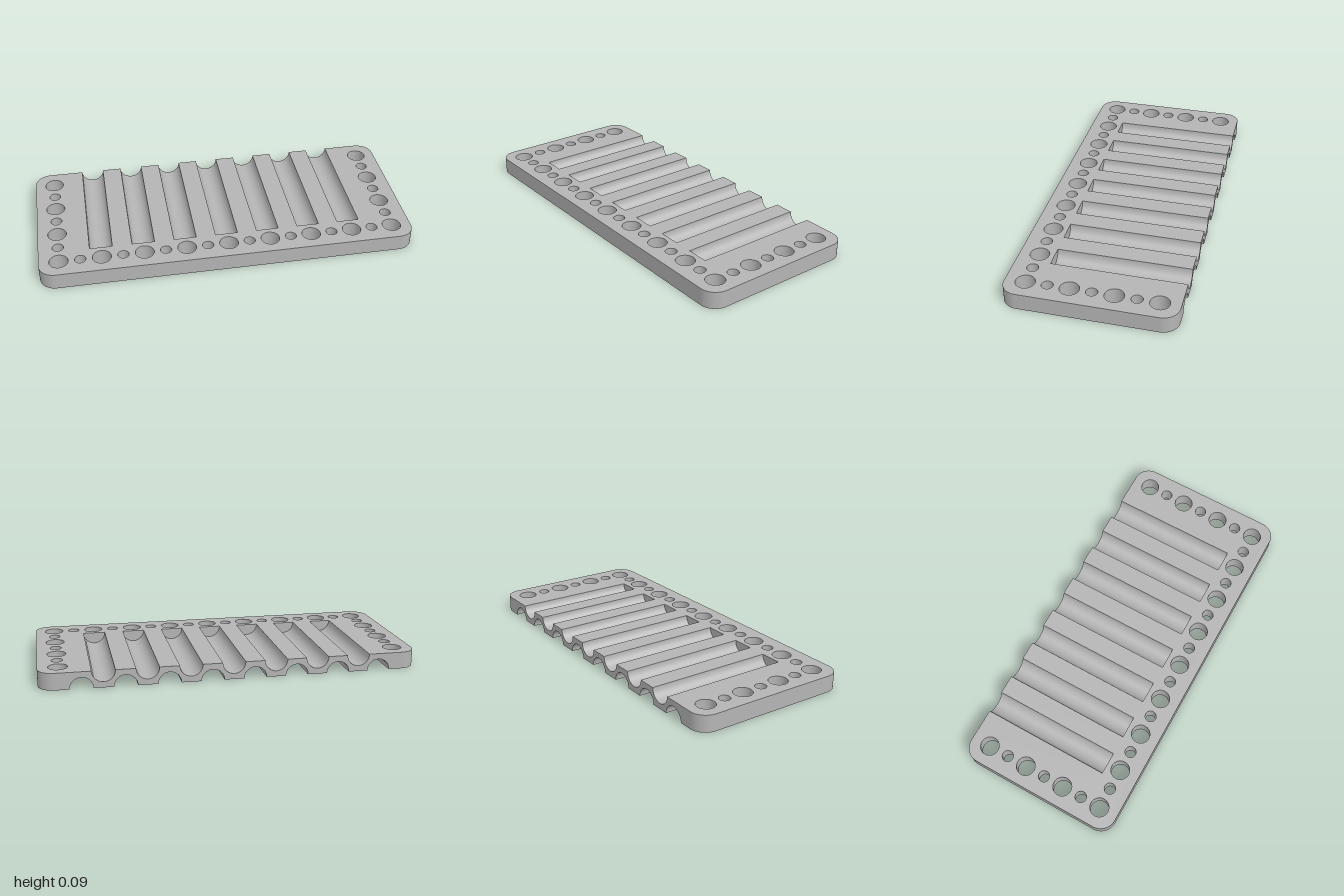
import * as THREE from 'three';
import { mergeGeometries, mergeVertices } from 'three/addons/utils/BufferGeometryUtils.js';

const X = 1, D = 0.44, H = 0.09, R = 0.085;      // half width, half depth, height, corner radius
const PITCH = 0.112, GR = 0.06, GEND = 0.26;     // hole pitch, groove radius, groove front end
const BIG = 0.05, SMALL = 0.03, SEG = 24;
const PI = Math.PI;

// Groove centres: seven on top, eight on the underside, staggered
const topGrooves = [-6, -4, -2, 0, 2, 4, 6].map(i => i * PITCH);
const bottomGrooves = [-7, -5, -3, -1, 1, 3, 5, 7].map(i => i * PITCH);

// Holes alternate large and small along the front and both sides
const holes = [];
for (let i = -8; i <= 8; i++) holes.push({ x: i * PITCH, z: 3 * PITCH, r: i % 2 ? SMALL : BIG });
for (const side of [-1, 1])
  for (let j = -3; j < 3; j++) holes.push({ x: side * 8 * PITCH, z: j * PITCH, r: j % 2 ? BIG : SMALL });

// Turns a surface inside out
function inward(geo) {
  const index = geo.index.array, normal = geo.attributes.normal.array;
  for (let i = 0; i < index.length; i += 3) [index[i], index[i + 1]] = [index[i + 1], index[i]];
  for (let i = 0; i < normal.length; i++) normal[i] *= -1;
  return geo;
}

// Flat plate face, notched by its grooves and pierced by the holes
function plateFace(grooves) {
  const s = new THREE.Shape();
  s.moveTo(-X + R, D);
  s.absarc(-X + R, D - R, R, PI / 2, PI);
  s.absarc(-X + R, -D + R, R, PI, PI * 1.5);
  s.absarc(X - R, -D + R, R, PI * 1.5, PI * 2);
  s.absarc(X - R, D - R, R, 0, PI / 2);
  for (const x of [...grooves].reverse()) {
    s.lineTo(x + GR, D);
    s.lineTo(x + GR, -GEND);
    s.lineTo(x - GR, -GEND);
    s.lineTo(x - GR, D);
  }
  s.closePath();
  for (const h of holes) s.holes.push(new THREE.Path().absarc(h.x, -h.z, h.r, 0, PI * 2, true));
  return new THREE.ShapeGeometry(s, SEG / 2).rotateX(-PI / 2);
}

// Back edge, scalloped from above and below by the open groove ends
function backFace() {
  const s = new THREE.Shape();
  s.moveTo(-X + R, 0);
  for (const x of bottomGrooves) {
    s.lineTo(x - GR, 0);
    s.absarc(x, 0, GR, PI, 0, true);
  }
  s.lineTo(X - R, 0);
  s.lineTo(X - R, H);
  for (const x of [...topGrooves].reverse()) {
    s.lineTo(x + GR, H);
    s.absarc(x, H, GR, 0, PI, true);
  }
  s.lineTo(-X + R, H);
  s.closePath();
  return new THREE.ShapeGeometry(s, SEG / 2).rotateY(PI).translate(0, 0, -D);
}

// Front and side walls with rounded corners
function outerWall() {
  const parts = [new THREE.PlaneGeometry(2 * (X - R), H).translate(0, H / 2, D)];
  for (const side of [-1, 1]) {
    parts.push(new THREE.PlaneGeometry(2 * (D - R), H).rotateY(side * PI / 2).translate(side * X, H / 2, 0));
  }
  [[1, 1], [1, -1], [-1, -1], [-1, 1]].forEach(([sx, sz], q) => {
    parts.push(new THREE.CylinderGeometry(R, R, H, SEG, 1, true, q * PI / 2, PI / 2)
      .translate(sx * (X - R), H / 2, sz * (D - R)));
  });
  const geo = mergeGeometries(parts);
  geo.deleteAttribute('uv');
  return mergeVertices(geo);
}

// Half-round channel with a flat wall at its front end
function groove(upward) {
  const channel = inward(new THREE.CylinderGeometry(GR, GR, D + GEND, SEG, 1, true, upward ? -PI / 2 : PI / 2, PI));
  channel.rotateX(PI / 2).translate(0, 0, (GEND - D) / 2);
  const end = new THREE.CircleGeometry(GR, SEG, upward ? PI : 0, PI).rotateY(PI).translate(0, 0, GEND);
  return mergeGeometries([channel, end]);
}

export function createModel() {
  const model = new THREE.Group();
  model.name = 'groovedPlate';
  const grey = new THREE.MeshStandardMaterial({ color: 0xb4b4b4, side: THREE.DoubleSide });
  grey.name = 'grey';

  const add = (name, geo, x = 0, y = 0, z = 0) => {
    const mesh = new THREE.Mesh(geo, grey);
    mesh.name = name;
    mesh.position.set(x, y, z);
    model.add(mesh);
  };

  // Plate skin
  add('topFace', plateFace(topGrooves), 0, H);
  add('bottomFace', plateFace(bottomGrooves).rotateZ(PI));
  add('backFace', backFace());
  add('outerWall', outerWall());

  // Grooves
  const upper = groove(true), lower = groove(false);
  for (const x of topGrooves) add('topGroove', upper, x, H);
  for (const x of bottomGrooves) add('bottomGroove', lower, x);

  // Hole walls
  const bore = r => inward(new THREE.CylinderGeometry(r, r, H, SEG, 1, true));
  const bigBore = bore(BIG), smallBore = bore(SMALL);
  for (const h of holes) {
    const big = h.r === BIG;
    add(big ? 'largeHole' : 'smallHole', big ? bigBore : smallBore, h.x, H / 2, h.z);
  }
  return model;
}
